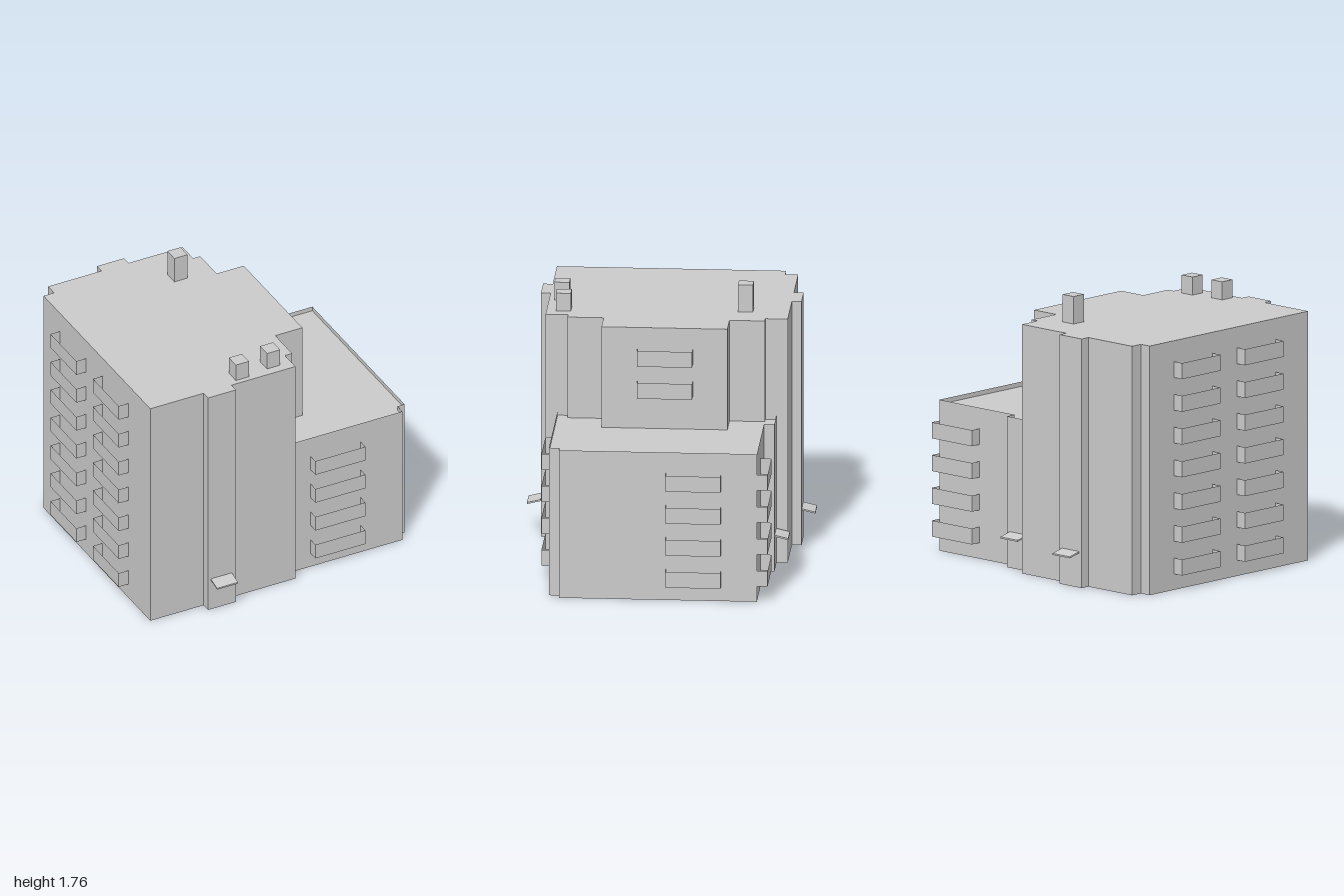
import * as THREE from 'three';

const material = new THREE.MeshStandardMaterial({ color: 0xcccccc, side: THREE.DoubleSide, flatShading: true });

const ROOF = 1.585, LOW_TOP = 0.96, LOW_ROOF = 0.93, DEPTH = 0.067;

// Plan corners as [x, z], walked so that the walls face outwards
const stepFront = [[0.09, 0.675], [0.09, 0.61], [0.14, 0.61], [0.14, 0.385], [0.33, 0.385]];
const stepBack = [[0.33, -0.4], [0.14, -0.4], [0.14, -0.62], [0.09, -0.62], [0.09, -0.69]];
const upperStep = [...stepFront, ...stepBack];
const towerBack = [[0.09, -0.69], [0.09, -0.76], [-0.29, -0.76], [-0.29, -0.82], [-0.48, -0.82],
  [-0.48, -0.76], [-0.855, -0.76], [-0.855, -0.68], [-0.93, -0.68]];
const towerFront = [[-0.93, 0.75], [-0.555, 0.75], [-0.555, 0.81], [-0.36, 0.81], [-0.36, 0.75],
  [0.09, 0.75], [0.09, 0.675]];
const lowWing = [[0.09, 0.675], [0.88, 0.675], [0.88, 0.61], [0.93, 0.61], [0.93, -0.625],
  [0.285, -0.625], [0.285, -0.69], [0.09, -0.69]];

// Upright walls along an open run of plan points
function wallGeometry(points, y0, y1) {
  const pos = [];
  for (let i = 0; i + 1 < points.length; i++) {
    const [ax, az] = points[i], [bx, bz] = points[i + 1];
    pos.push(ax, y0, az, bx, y0, bz, bx, y1, bz, ax, y0, az, bx, y1, bz, ax, y1, az);
  }
  const g = new THREE.BufferGeometry();
  g.setAttribute('position', new THREE.Float32BufferAttribute(pos, 3));
  g.computeVertexNormals();
  return g;
}

// Flat slab following a plan outline
function roofGeometry(points, y) {
  const shape = new THREE.Shape(points.map(([x, z]) => new THREE.Vector2(x, -z)));
  return new THREE.ShapeGeometry(shape).rotateX(-Math.PI / 2).translate(0, y, 0);
}

function add(parent, name, geometry) {
  const mesh = new THREE.Mesh(geometry, material);
  mesh.name = name;
  parent.add(mesh);
  return mesh;
}

// Open-topped balcony: three parapet sides and a floor, projecting along local +z
function balcony(width) {
  const g = new THREE.Group(), h = width / 2;
  g.name = 'balcony';
  add(g, 'balconyParapet', wallGeometry([[-h, 0], [-h, DEPTH], [h, DEPTH], [h, 0]], 0, 0.102));
  add(g, 'balconyFloor', new THREE.PlaneGeometry(width, DEPTH).rotateX(Math.PI / 2).translate(0, 0, DEPTH / 2));
  return g;
}

// Thin entrance canopy sloping down away from the wall
function canopy(parent, x, z, dir) {
  const g = new THREE.BoxGeometry(0.148, 0.01, 0.085).translate(0, 0, 0.0425);
  const p = g.attributes.position;
  for (let i = 0; i < p.count; i++) p.setY(i, p.getY(i) - p.getZ(i) * 0.24);
  g.computeVertexNormals();
  const mesh = add(parent, 'entranceCanopy', g);
  mesh.position.set(x, 0.225, z);
  mesh.rotation.y = dir > 0 ? 0 : Math.PI;
}

export function createModel() {
  const model = new THREE.Group();
  model.name = 'apartmentBlock';

  // Tall block, hollow and open underneath
  const outer = [...towerBack, ...towerFront];
  add(model, 'towerWalls', wallGeometry(outer, 0, ROOF));
  add(model, 'towerUpperWalls', wallGeometry(upperStep, LOW_ROOF, ROOF));
  add(model, 'towerRoof', roofGeometry([...outer.slice(0, -1), ...upperStep.slice(0, -1)], ROOF));

  // Low wing, its roof sunk slightly behind the wall tops
  add(model, 'lowWingWalls', wallGeometry(lowWing, 0, LOW_TOP));
  add(model, 'lowWingRoof',
    roofGeometry([...lowWing, ...upperStep.slice(1, -1).reverse()], LOW_ROOF));

  // Balcony columns: x, z, turn about y, width, first and last storey
  const columns = [
    [-0.93, -0.285, -Math.PI / 2, 0.345, 0, 6],
    [-0.93, 0.283, -Math.PI / 2, 0.345, 0, 6],
    [0.93, -0.23, Math.PI / 2, 0.345, 0, 3],
    [0.33, -0.012, Math.PI / 2, 0.345, 5, 6],
    [0.41, 0.675, 0, 0.35, 0, 3],
    [0.758, -0.625, Math.PI, 0.344, 0, 3],
  ];
  for (const [x, z, turn, width, first, last] of columns) {
    for (let storey = first; storey <= last; storey++) {
      const b = balcony(width);
      b.position.set(x, 0.1 + storey * 0.2083, z);
      b.rotation.y = turn;
      model.add(b);
    }
  }

  // Entrance canopies
  canopy(model, -0.465, 0.815, 1);
  canopy(model, -0.385, -0.82, -1);
  canopy(model, 0.188, -0.69, -1);

  // Rooftop vents: x, z, top
  for (const [x, z, top] of [[-0.09, -0.487, 1.76], [-0.265, 0.67, 1.7], [-0.033, 0.645, 1.7]]) {
    const h = top - ROOF;
    add(model, 'roofVent', new THREE.BoxGeometry(0.092, h, 0.094)).position.set(x, ROOF + h / 2, z);
  }
  return model;
}
